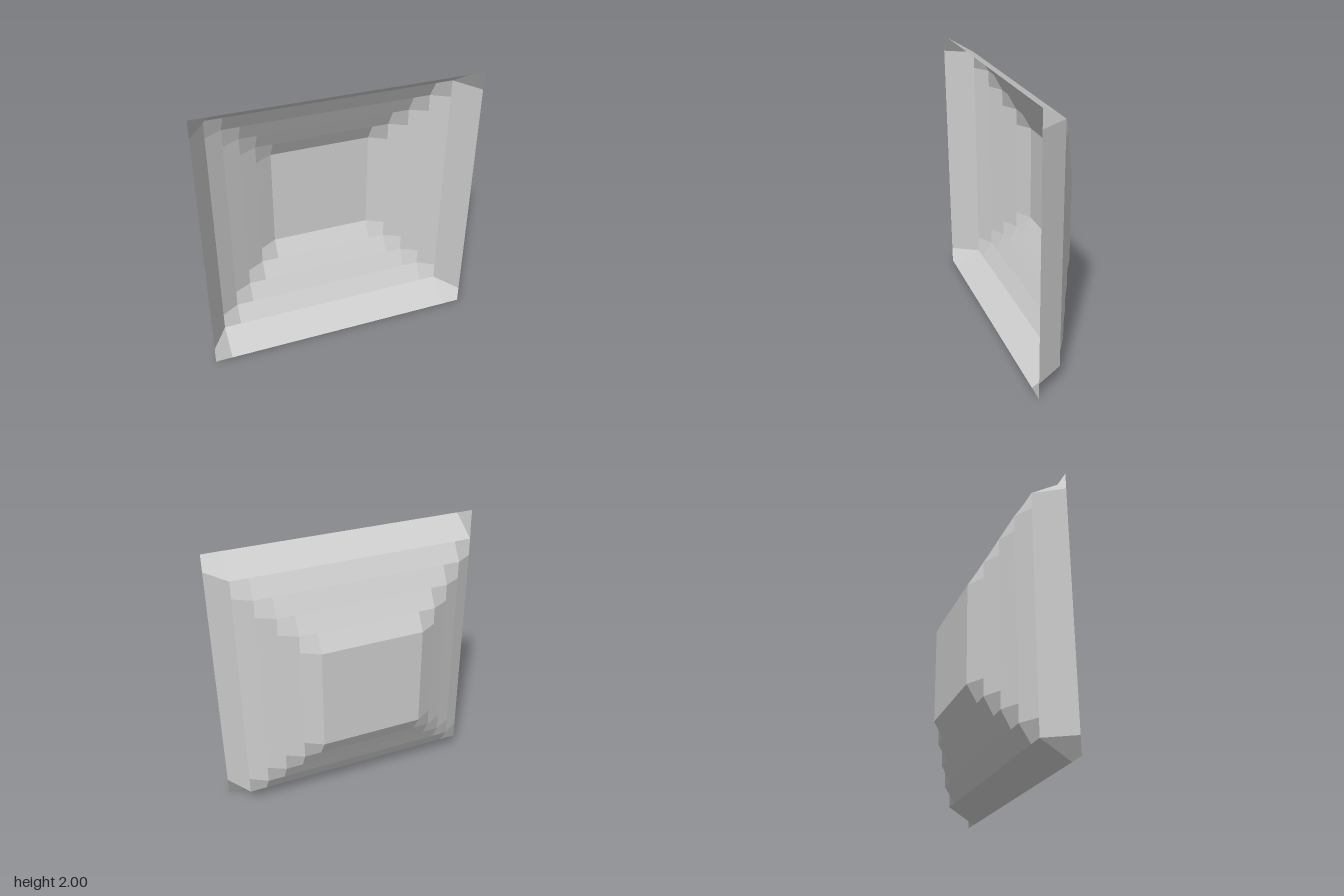
import * as THREE from 'three';

const CELLS = 16;
const STEP = 2 / CELLS;
// Depth of each square ring of grid points, from the rim inwards
const RING_Z = [0.243, 0.041, -0.036, -0.102, -0.17, -0.243];

// Grid point (i, j): its depth depends only on its distance from the rim
function point(i, j) {
  const ring = Math.min(i, j, CELLS - i, CELLS - j, RING_Z.length - 1);
  return new THREE.Vector3(-1 + i * STEP, j * STEP, RING_Z[ring]);
}

// Square dish made of flat-shaded four-sided facets
function dishGeometry() {
  const positions = [], normals = [];
  for (let j = 0; j < CELLS; j++) {
    for (let i = 0; i < CELLS; i++) {
      const a = point(i, j), b = point(i + 1, j);
      const c = point(i + 1, j + 1), d = point(i, j + 1);
      // One normal per facet, so the bent corner facets shade evenly
      const n = c.clone().sub(a).cross(d.clone().sub(b)).normalize();
      for (const p of [a, b, c, a, c, d]) {
        positions.push(p.x, p.y, p.z);
        normals.push(n.x, n.y, n.z);
      }
    }
  }
  const geometry = new THREE.BufferGeometry();
  geometry.setAttribute('position', new THREE.Float32BufferAttribute(positions, 3));
  geometry.setAttribute('normal', new THREE.Float32BufferAttribute(normals, 3));
  return geometry;
}

export function createModel() {
  const group = new THREE.Group();
  group.name = 'squareDish';
  const material = new THREE.MeshStandardMaterial({ color: 0xcccccc, side: THREE.DoubleSide });
  const dish = new THREE.Mesh(dishGeometry(), material);
  dish.name = 'dishPanel';
  group.add(dish);
  return group;
}
